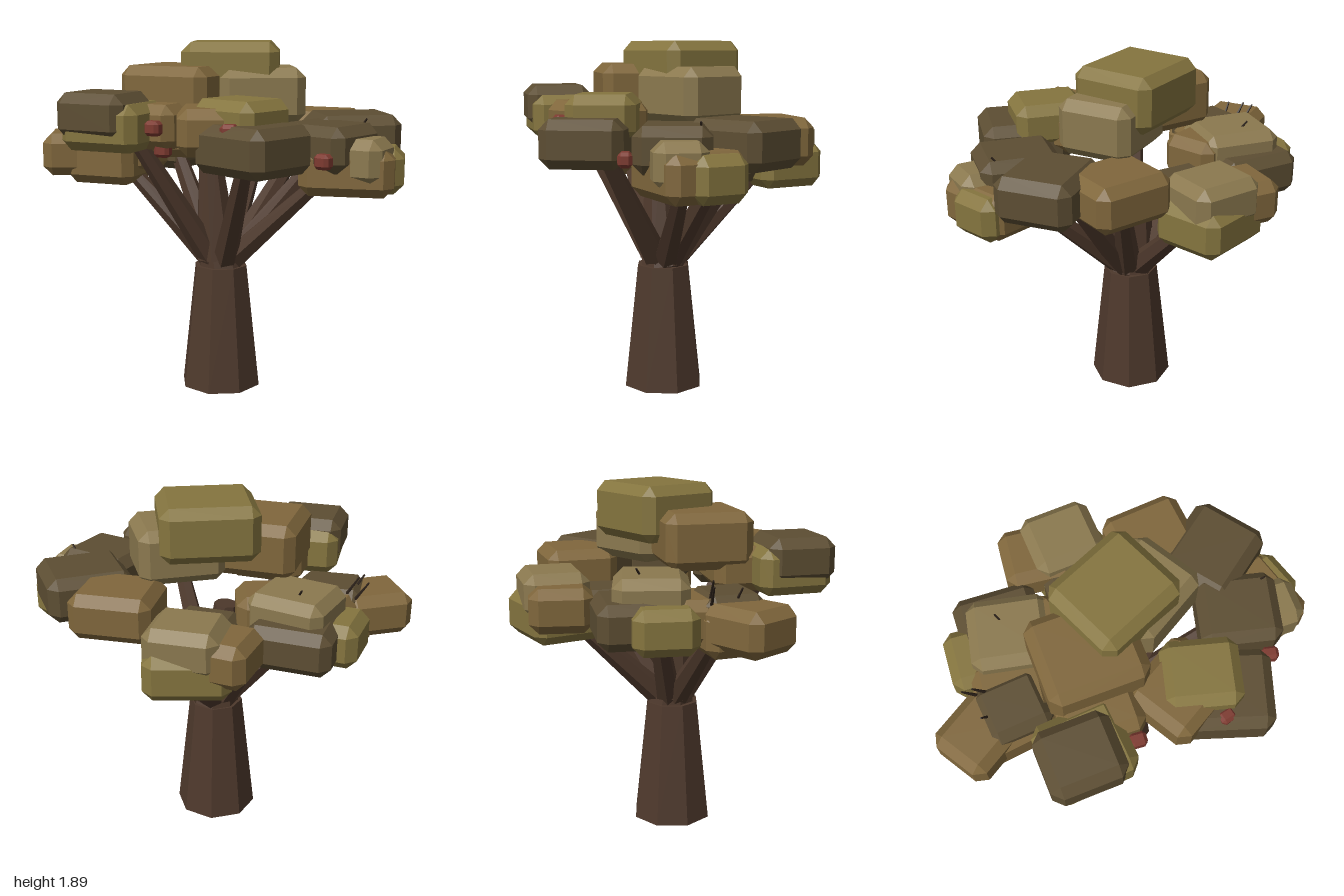
import * as THREE from 'three';
import { ConvexGeometry } from 'three/addons/geometries/ConvexGeometry.js';

const mat = (color) => new THREE.MeshStandardMaterial({ color, flatShading: true });
const bark = mat(0x4e392c), twigWood = mat(0x2e231b), red = mat(0x7d3a30);
const olive = mat(0x85753f), tan = mat(0x80673c), dark = mat(0x5d4e33), light = mat(0x8b794f);

// Box with every edge and corner cut off
function chamferBox(w, h, d, c) {
  const points = [];
  for (const sx of [-1, 1]) for (const sy of [-1, 1]) for (const sz of [-1, 1]) {
    const x = sx * w / 2, y = sy * h / 2, z = sz * d / 2;
    points.push(
      new THREE.Vector3(x, y - sy * c, z - sz * c),
      new THREE.Vector3(x - sx * c, y, z - sz * c),
      new THREE.Vector3(x - sx * c, y - sy * c, z),
    );
  }
  return new ConvexGeometry(points);
}

// Tapered limb between two points
function limb(name, from, to, r0, r1, sides, material) {
  const dir = to.clone().sub(from);
  const mesh = new THREE.Mesh(new THREE.CylinderGeometry(r1, r0, dir.length(), sides), material);
  mesh.name = name;
  mesh.position.copy(from).lerp(to, 0.5);
  mesh.quaternion.setFromUnitVectors(new THREE.Vector3(0, 1, 0), dir.normalize());
  return mesh;
}

// Foliage block hung from its top height; depth follows the width
function leafBlock([material, x, z, top, width, turn], height) {
  const mesh = new THREE.Mesh(chamferBox(width, height, width * 0.9, Math.min(0.05, width * 0.2)), material);
  mesh.name = 'leafBlock';
  mesh.position.set(x, top - height / 2, z);
  mesh.rotation.y = turn;
  return mesh;
}

// Each block: material, x, z, top, width, turn
const crown = [
  [olive, 0.05, -0.04, 1.89, 0.51, 0.24],
  [tan, -0.19, 0.11, 1.77, 0.51, -0.17],
  [light, 0.21, -0.03, 1.76, 0.45, 0.36],
];
// Clusters that each sit on a branch
const clusters = [
  [dark, 0.69, -0.12, 1.52, 0.45, 0.47],
  [tan, 0.46, -0.35, 1.51, 0.43, -0.1],
  [olive, 0.07, -0.60, 1.34, 0.43, 0.12],
  [light, -0.43, -0.26, 1.50, 0.42, -0.38],
  [tan, -0.62, 0.07, 1.36, 0.40, -0.05],
  [olive, -0.42, 0.48, 1.60, 0.43, -0.1],
  [dark, 0.34, 0.56, 1.52, 0.46, -0.49],
  [tan, 0.74, 0.19, 1.39, 0.47, 0.1],
];
// Blocks stacked on and between the clusters
const fillers = [
  [light, 0.07, -0.61, 1.46, 0.38, -0.13],
  [tan, -0.09, -0.62, 1.41, 0.36, -0.28],
  [dark, 0.02, -0.34, 1.36, 0.34, -0.2],
  [dark, -0.44, -0.36, 1.39, 0.44, -0.22],
  [olive, -0.60, -0.27, 1.38, 0.36, -0.25],
  [tan, -0.29, -0.20, 1.47, 0.34, 0.15],
  [tan, -0.81, 0.09, 1.39, 0.37, 0.38],
  [tan, -0.56, -0.02, 1.40, 0.38, -0.28],
  [dark, -0.60, 0.07, 1.42, 0.35, -0.1],
  [dark, -0.46, 0.51, 1.65, 0.39, -0.15],
  [tan, -0.26, 0.32, 1.59, 0.41, -0.2],
  [olive, 0.25, 0.45, 1.63, 0.39, -0.44],
  [tan, 0.14, 0.45, 1.59, 0.43, 0.35],
  [dark, 0.63, 0.22, 1.50, 0.42, -0.42],
  [olive, 0.85, 0.13, 1.38, 0.32, 0.12],
  [light, 0.81, 0.27, 1.44, 0.29, -0.2],
];

const fruits = [[0.67, 1.34, 0.48], [-0.17, 1.48, 0.56], [-0.16, 1.36, 0.46], [0.26, 1.49, 0.68]];
// Twig tips
const twigs = [[-0.79, 1.48, -0.09], [-0.74, 1.5, -0.07], [-0.77, 1.46, 0.07], [0.82, 1.52, 0.16], [-0.46, 1.53, -0.35]];

export function createModel() {
  const tree = new THREE.Group();
  tree.name = 'tree';
  const v = (x, y, z) => new THREE.Vector3(x, y, z);

  // Trunk, neck and central leader
  tree.add(
    limb('trunk', v(0.015, 0, 0.047), v(0.015, 0.68, 0.047), 0.222, 0.147, 8, bark),
    limb('trunkNeck', v(0.02, 0.67, 0.04), v(0, 0.8, 0.05), 0.135, 0.11, 8, bark),
    limb('leader', v(0, 0.72, 0.05), v(-0.04, 1.26, 0.06), 0.125, 0.065, 8, bark),
  );

  // Branches fan out from the neck to just inside each cluster
  const branches = new THREE.Group();
  branches.name = 'branches';
  for (const [, x, z, top] of clusters) {
    const reach = Math.hypot(x, z);
    const base = v(0.02 + 0.06 * x / reach, 0.71, 0.04 + 0.06 * z / reach);
    branches.add(limb('branch', base, v(x * 0.86, top - 0.15, z * 0.86), 0.07, 0.038, 6, bark));
  }
  tree.add(branches);

  // Canopy
  const canopy = new THREE.Group();
  canopy.name = 'canopy';
  for (const block of crown) canopy.add(leafBlock(block, 0.29));
  for (const block of clusters) canopy.add(leafBlock(block, 0.24));
  for (const block of fillers) canopy.add(leafBlock(block, 0.23));
  tree.add(canopy);

  // Fruit
  fruits.forEach((position, i) => {
    const fruit = new THREE.Mesh(chamferBox(0.085, 0.075, 0.07, 0.017), red);
    fruit.name = 'fruit';
    fruit.position.set(...position);
    fruit.rotation.y = -0.4 + i * 0.15;
    tree.add(fruit);
  });

  // Twigs lean outward from the foliage
  for (const [x, y, z] of twigs) {
    tree.add(limb('twig', v(x * 0.92, y - 0.1, z * 0.8), v(x, y, z), 0.009, 0.005, 5, twigWood));
  }
  return tree;
}
